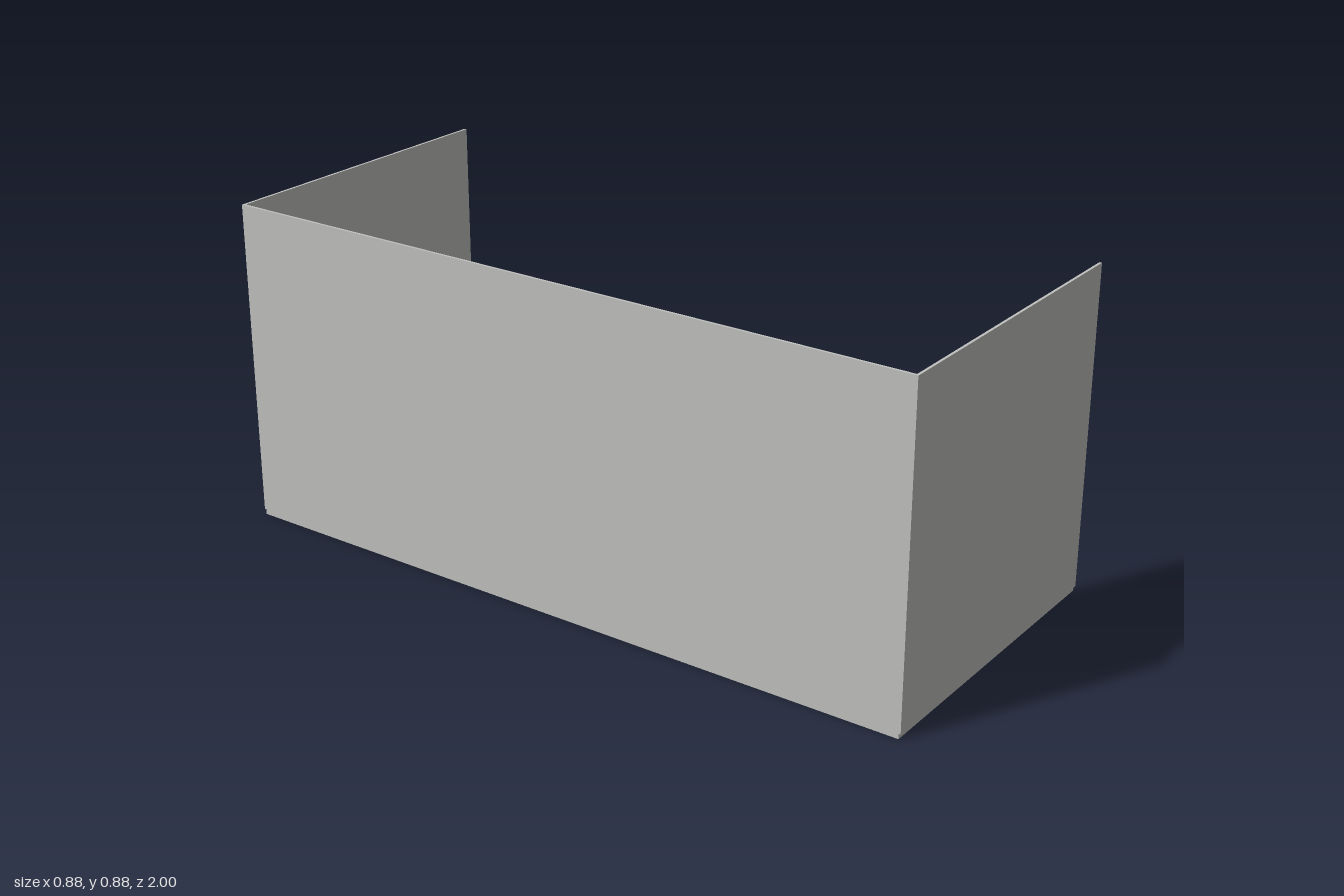
import * as THREE from 'three';

export function createModel() {
  const model = new THREE.Group();
  const grey = new THREE.MeshStandardMaterial({ color: 0xc0c0be });
  grey.name = 'plain grey';

  const add = (parent, name, geometry, x = 0, y = 0, z = 0) => {
    const mesh = new THREE.Mesh(geometry, grey);
    mesh.name = name;
    mesh.position.set(x, y, z);
    parent.add(mesh);
    return mesh;
  };
  const shape = (points) => new THREE.Shape(points.map(([x, y]) => new THREE.Vector2(x, y)));
  const extrude = (points, depth) =>
    new THREE.ExtrudeGeometry(shape(points), { depth, bevelEnabled: false });

  // Floor slab and three walls, open on the +x side
  const top = 0.885, base = 0.014, wall = 0.007;
  const wallHeight = top - base, wallY = (top + base) / 2;
  add(model, 'floor', new THREE.BoxGeometry(0.885, base, 1.99), 0, base / 2, 0);
  add(model, 'longWall', new THREE.BoxGeometry(wall, wallHeight, 2), -0.439, wallY, 0);
  for (const side of [1, -1]) {
    add(model, side > 0 ? 'frontWall' : 'backWall',
      new THREE.BoxGeometry(0.885, wallHeight, wall), 0, wallY, side * (1 - wall / 2));
  }

  // Wash trough, very slightly askew; local x = 0 is its back face
  const trough = new THREE.Group();
  trough.name = 'washTrough';
  trough.position.set(-0.432, 0.004, 0.0925);
  trough.rotation.set(0.008, -0.016, 0);
  model.add(trough);

  // Cross-section: back panel with a steep cap, deck and front face
  const panel = [[0, 0.425], [0, 0.006], [0.152, 0.006], [0.152, 0.213]];
  const deck = [[0.02, 0.213], [0.02, 0.39], [0.006, 0.425]];
  const basin = [[0.137, 0.213], [0.137, 0.13], [0.072, 0.19], [0.072, 0.213]];
  const half = 0.2775, end = 0.04;
  add(trough, 'basinBody', extrude([...panel, ...basin, ...deck], 2 * (half - end)), 0, 0, -half + end);
  for (const z of [-half, half - end]) {
    add(trough, 'basinEnd', extrude([...panel, ...deck], end), 0, 0, z);
  }

  // Taps: tapered bodies with a raised block behind
  for (const z of [-0.178, 0.178]) {
    const body = extrude([[0, -0.017], [0.028, -0.017], [0.052, -0.006],
      [0.052, 0.006], [0.028, 0.017], [0, 0.017]], 0.04);
    body.rotateX(-Math.PI / 2);
    add(trough, 'tapBody', body, 0.018, 0.28, z);
    add(trough, 'tapHead', new THREE.BoxGeometry(0.026, 0.03, 0.034), 0.031, 0.335, z);
  }

  // Side spindles and the short central stud
  for (const [z, length] of [[-0.09, 0.042], [0, 0.012], [0.09, 0.042]]) {
    const stud = new THREE.CylinderGeometry(0.006, 0.006, length, 12);
    stud.rotateZ(Math.PI / 2);
    add(trough, 'stud', stud, 0.018 + length / 2, 0.326, z);
  }
  return model;
}
